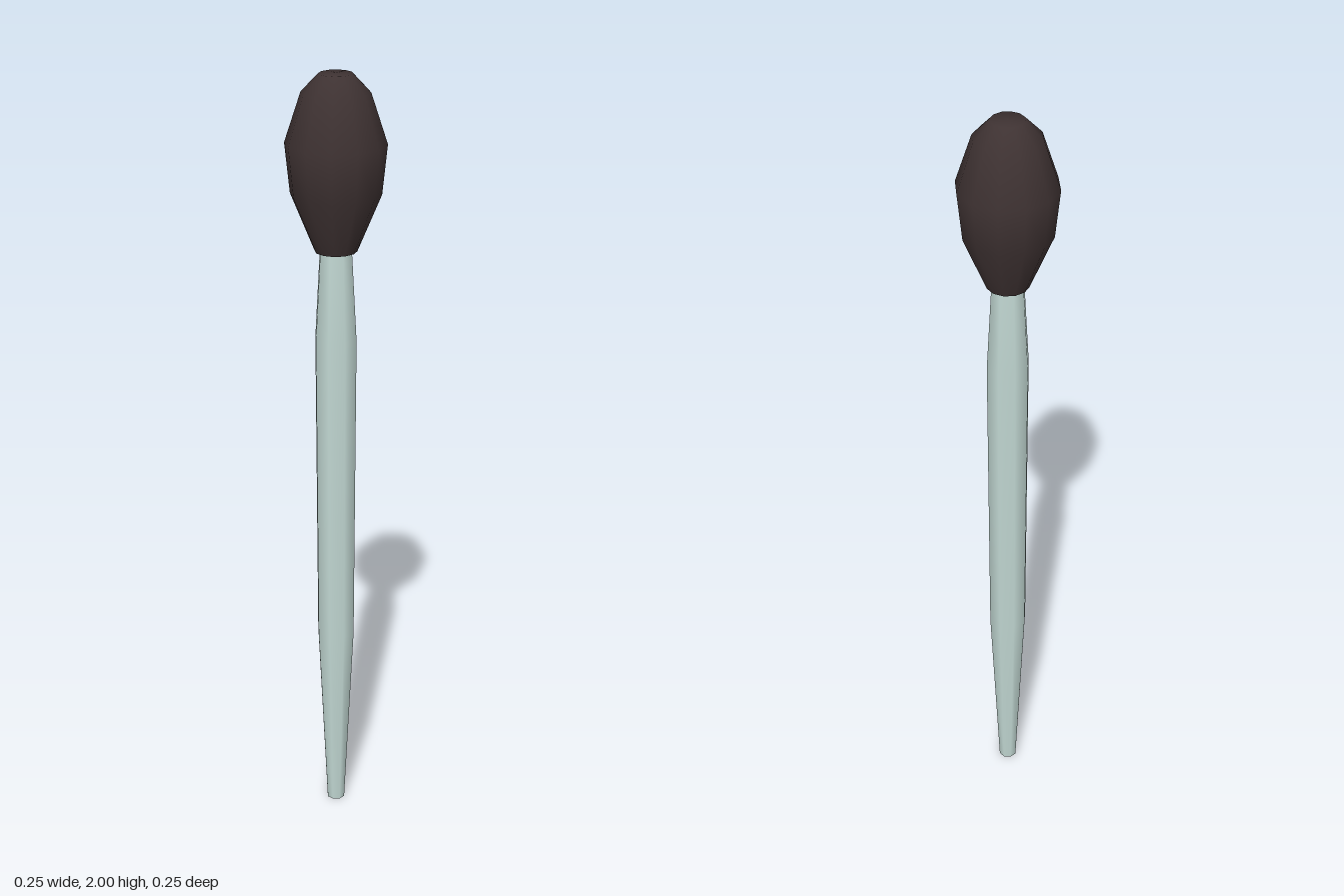
import * as THREE from 'three';

// Turn a bottom-to-top profile of [radius, height] pairs around the y axis.
// A repeated pair makes a sharp rim.
function turned(name, profile, sides, material) {
  const points = profile.map(([r, y]) => new THREE.Vector2(r, y));
  const mesh = new THREE.Mesh(new THREE.LatheGeometry(points, sides), material);
  mesh.name = name;
  return mesh;
}

export function createModel() {
  const paleGlass = new THREE.MeshStandardMaterial({ name: 'paleGreenGrey', color: 0xc2d8d3 });
  const darkBrown = new THREE.MeshStandardMaterial({ name: 'darkBrown', color: 0x3e3232 });

  const model = new THREE.Group();
  model.name = 'swab';

  // Tapered eight-sided stick with a slight shoulder below the head
  model.add(turned('stick', [
    [0, 0], [0.024, 0], [0.024, 0],
    [0.05, 0.51], [0.055, 1.33], [0.042, 1.565],
  ], 8, paleGlass));

  // Rounded twelve-sided head
  model.add(turned('head', [
    [0, 1.56], [0.053, 1.56], [0.053, 1.56],
    [0.113, 1.705], [0.126, 1.83], [0.085, 1.955], [0.042, 2], [0, 2],
  ], 12, darkBrown));

  return model;
}
